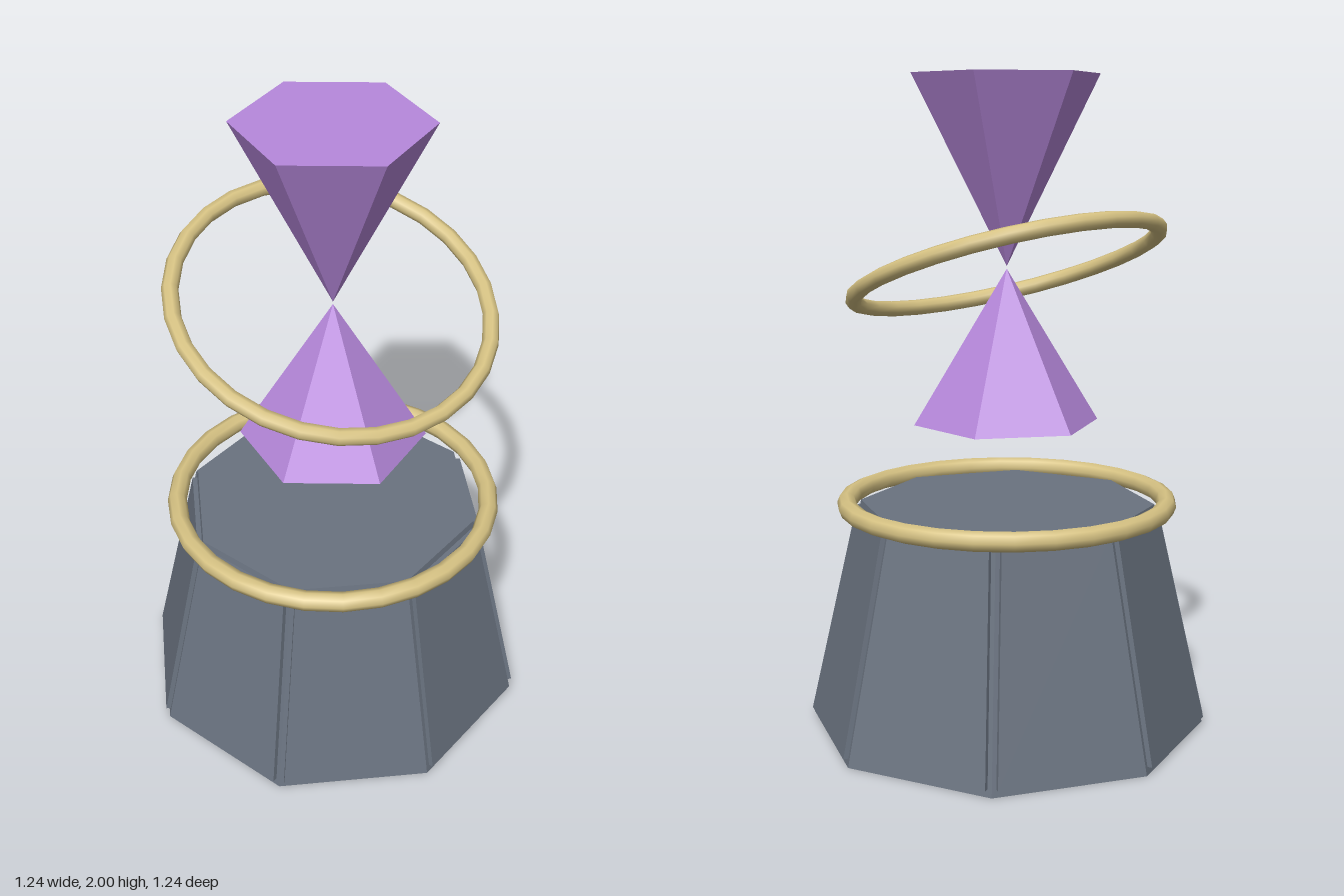
import * as THREE from 'three';

const stone = new THREE.MeshStandardMaterial({ color: 0x6a7380, flatShading: true });
stone.name = 'slate stone';
const gold = new THREE.MeshStandardMaterial({ color: 0xd6c283 });
gold.name = 'pale gold';
const violet = new THREE.MeshStandardMaterial({ color: 0xb788dc, flatShading: true });
violet.name = 'violet crystal';

const HEIGHT = 0.7;
const HALF = Math.PI / 8; // half the angle of one octagon side
const coreRadius = (y) => 0.615 - (0.16 * y) / HEIGHT;

function add(parent, name, geometry, material, y = 0) {
  const mesh = new THREE.Mesh(geometry, material);
  mesh.name = name;
  mesh.position.y = y;
  parent.add(mesh);
  return mesh;
}

// Sloped plate covering one octagon side, stopping short of the corners
function panelGeometry() {
  const geometry = new THREE.BoxGeometry(2, 2, 2);
  const p = geometry.attributes.position;
  for (let i = 0; i < p.count; i++) {
    const y = p.getY(i) > 0 ? 0.68 : 0.022;
    const outer = coreRadius(y) + 0.016;
    const radius = p.getZ(i) > 0 ? outer : coreRadius(y) - 0.01;
    const halfWidth = outer * Math.sin(HALF) - 0.0195;
    p.setXYZ(i, p.getX(i) * halfWidth, y, radius * Math.cos(HALF));
  }
  geometry.computeVertexNormals();
  return geometry;
}

function ring(parent, name, radius, tube, y, tilt) {
  const geometry = new THREE.TorusGeometry(radius, tube, 8, 28);
  geometry.rotateX(Math.PI / 2);
  add(parent, name, geometry, gold, y).rotation.x = tilt;
}

export function createModel() {
  const model = new THREE.Group();
  model.name = 'crystalShrine';

  // Octagonal pedestal with eight raised side panels
  const pedestal = new THREE.Group();
  pedestal.name = 'pedestal';
  model.add(pedestal);
  add(pedestal, 'pedestalCore',
    new THREE.CylinderGeometry(coreRadius(HEIGHT), coreRadius(0), HEIGHT, 8), stone, HEIGHT / 2);
  const panel = panelGeometry();
  for (let i = 0; i < 8; i++) {
    add(pedestal, 'sidePanel', panel, stone).rotation.y = HALF * (2 * i + 1);
  }

  // Level rim ring and tilted floating ring
  ring(model, 'rimRing', 0.493, 0.03, 0.705, 0);
  ring(model, 'floatingRing', 0.472, 0.025, 1.428, THREE.MathUtils.degToRad(20));

  // Two six-sided crystals meeting tip to tip
  add(model, 'lowerCrystal', new THREE.CylinderGeometry(0, 0.286, 0.47, 6), violet, 1.187);
  add(model, 'upperCrystal', new THREE.CylinderGeometry(0.286, 0, 0.57, 6), violet, 1.715);

  return model;
}
